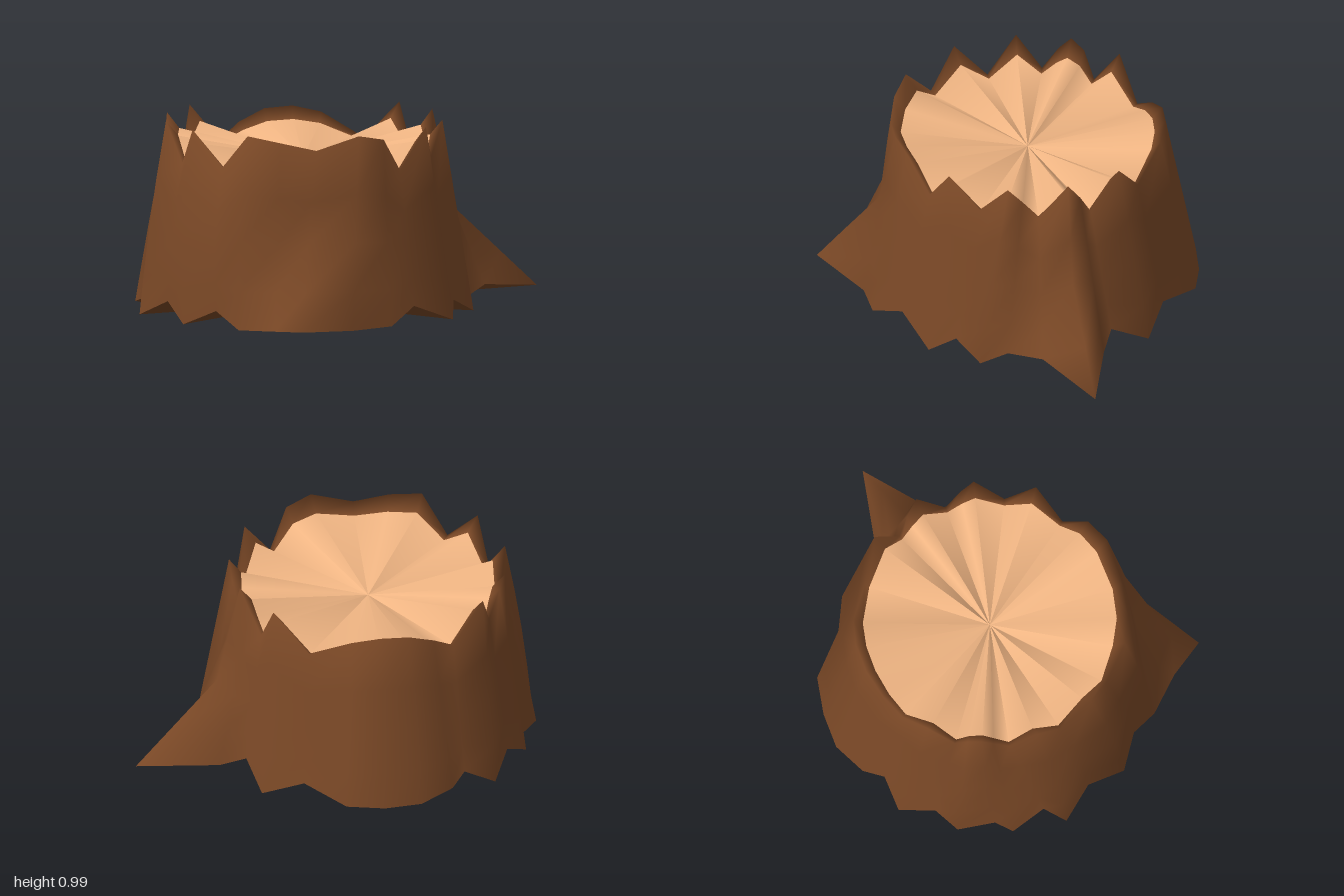
import * as THREE from 'three';

const CX = -0.14;  // axis of the trunk
const KNEE = 0.45; // share of the height where the roots meet the trunk

// One row per ridge or groove: base x, base z, rim angle (degrees), rim height
const RIDGES = [
  [0.74, -0.02, 3, 1.0], [0.65, 0.16, 15, 0.78], [0.72, 0.28, 21, 0.9],
  [1.0, 0.61, 27, 1.0], [0.6, 0.6, 39, 0.8], [0.38, 0.64, 46, 0.91],
  [0.31, 0.77, 52, 0.99], [0.14, 0.78, 65, 0.82], [0.03, 0.87, 78, 1.0],
  [-0.22, 0.82, 92, 0.79], [-0.42, 0.84, 104, 0.97], [-0.6, 0.73, 116, 1.0],
  [-0.97, 0.71, 134, 0.93], [-0.95, 0.5, 149, 0.97], [-0.97, 0.27, 163, 1.0],
  [-0.95, 0.1, 177, 0.82], [-1.0, -0.08, 192, 1.0], [-0.9, -0.27, 206, 0.8],
  [-0.89, -0.47, 219, 1.0], [-0.77, -0.5, 230, 0.82], [-0.69, -0.67, 237, 0.94],
  [-0.58, -0.67, 242, 1.0], [-0.44, -0.81, 248, 0.95], [-0.3, -0.8, 254, 0.81],
  [-0.12, -0.87, 265, 1.0], [0.02, -0.78, 280, 0.8], [0.14, -0.8, 291, 0.88],
  [0.33, -0.75, 303, 0.94], [0.48, -0.63, 315, 0.95], [0.61, -0.48, 327, 0.92],
  [0.64, -0.22, 347, 0.8],
];

// Skin a list of closed rings of equal length
function loft(name, rings, color) {
  const n = rings[0].length;
  const index = [];
  for (let r = 0; r < rings.length - 1; r++) {
    for (let i = 0; i < n; i++) {
      const a = r * n + i, b = r * n + (i + 1) % n;
      index.push(a, a + n, b, b, a + n, b + n);
    }
  }
  const geometry = new THREE.BufferGeometry().setFromPoints(rings.flat());
  geometry.setIndex(index);
  geometry.computeVertexNormals();
  const mesh = new THREE.Mesh(geometry, new THREE.MeshStandardMaterial({ color, side: THREE.DoubleSide }));
  mesh.name = name;
  return mesh;
}

export function createModel() {
  const group = new THREE.Group();
  group.name = 'treeStump';

  // Ground outline: ridges touch the ground, grooves and the long root tip lift off it
  const base = RIDGES.map(([x, z, , top]) => {
    const reach = Math.hypot(x - CX, z);
    return new THREE.Vector3(x, 0.01 + 0.45 * (1 - top) + 0.2 * Math.max(0, reach - 1.09), z);
  });

  // Jagged rim, and the edge of the cut wood just inside it
  const rimPoint = (degrees, radius, y) => {
    const a = THREE.MathUtils.degToRad(degrees);
    return new THREE.Vector3(CX + radius * Math.cos(a), y, radius * Math.sin(a));
  };
  const rim = RIDGES.map(([, , deg, y]) => rimPoint(deg, 0.68 + 0.2 * (y - 0.8), y));
  const inner = RIDGES.map(([, , deg, y]) => rimPoint(deg, 0.655, 0.79 + 0.65 * (y - 0.8)));

  // Bark: straight taper bulging a little on one side, roots sloping out below the knee
  const sides = [0, 0.2, KNEE, 0.7, 1].map((t) => base.map((b, i) => {
    const p = b.clone().lerp(rim[i], t);
    const reach = Math.hypot(b.x - CX, b.z);
    const trunk = b.x > 0 ? 0.94 : 0.8;
    const excess = reach > 0.94 ? (reach - trunk) / reach : 0;
    const pull = excess * ((1 - t) - Math.max(0, 1 - t / KNEE));
    p.x -= (b.x - CX) * pull;
    p.z -= b.z * pull;
    const left = Math.max(0, (CX - b.x) / reach);
    p.x -= 0.035 * left ** 4 * Math.sin(Math.PI * t);
    return p;
  }));
  group.add(loft('bark', [...sides, inner], 0x7a4826));

  // Pleated cut face and underside, both fanning from the axis
  const fanCentre = (y) => base.map(() => new THREE.Vector3(CX, y, 0));
  group.add(loft('cutWood', [inner, fanCentre(0.79)], 0xf0b583));
  group.add(loft('underside', [fanCentre(0.03), base], 0x7a4826));
  return group;
}
